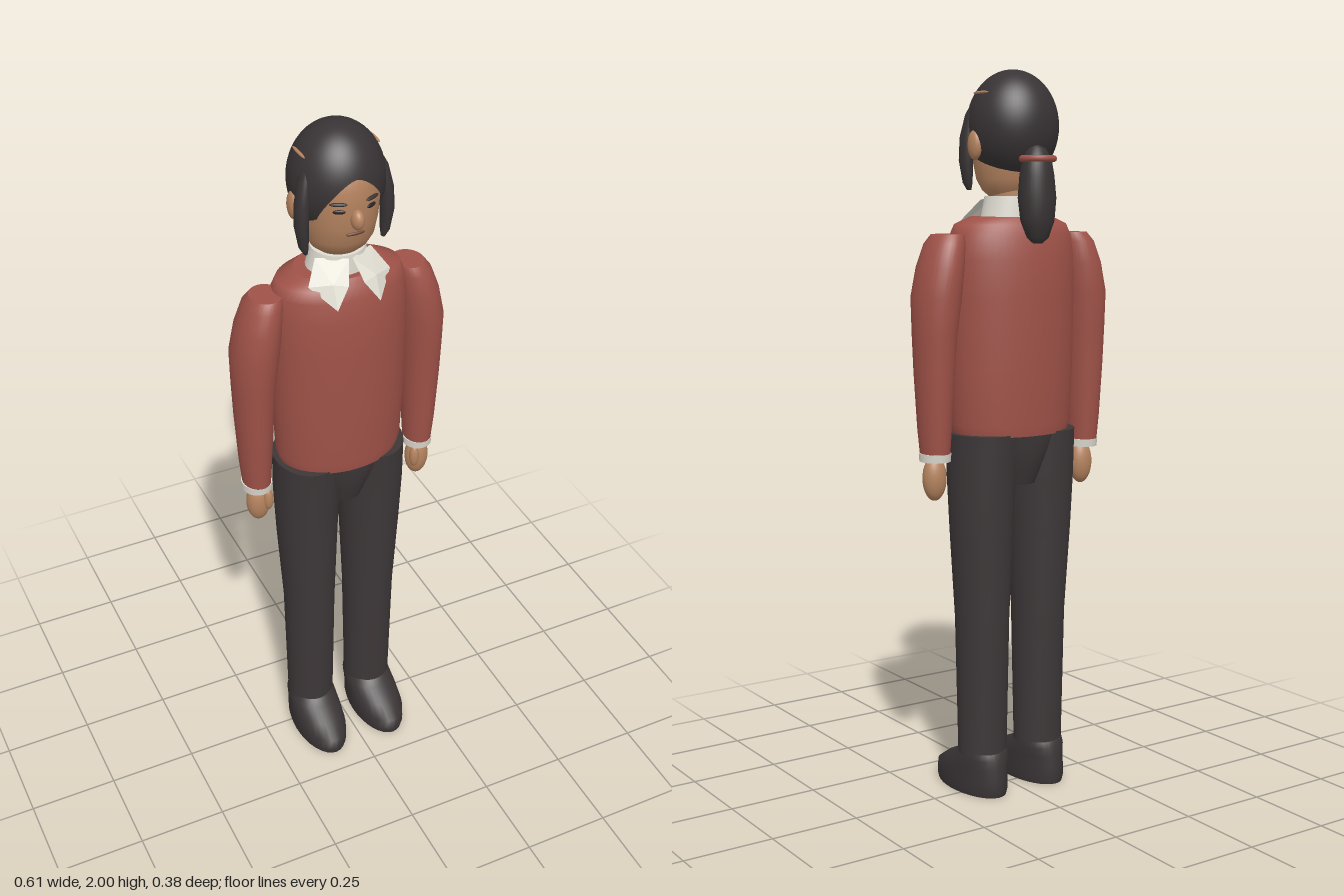
import * as THREE from 'three';

const mat = (name, color, side = THREE.FrontSide) => {
  const m = new THREE.MeshStandardMaterial({ color, side });
  m.name = name;
  return m;
};

// Closed elliptical loft; sections run upward as [y, cx, cz, rx, rz]
function loft(sections, n = 32) {
  const pos = [], idx = [];
  const ring = ([y, cx, cz, rx, rz]) => {
    for (let j = 0; j < n; j++) {
      const a = (j / n) * Math.PI * 2;
      pos.push(cx + rx * Math.cos(a), y, cz + rz * Math.sin(a));
    }
  };
  sections.forEach(ring);
  for (let i = 0; i < sections.length - 1; i++)
    for (let j = 0; j < n; j++) {
      const k = (j + 1) % n, a = i * n + j, b = i * n + k;
      idx.push(a, a + n, b, b, a + n, b + n);
    }
  // separate end caps keep a crisp rim
  [sections[0], sections[sections.length - 1]].forEach((s, end) => {
    const base = pos.length / 3;
    ring(s);
    pos.push(s[1], s[0], s[2]);
    for (let j = 0; j < n; j++) {
      const k = (j + 1) % n;
      if (end) idx.push(base + n, base + k, base + j);
      else idx.push(base + n, base + j, base + k);
    }
  });
  return finish(pos, idx);
}

function finish(pos, idx) {
  const g = new THREE.BufferGeometry();
  g.setAttribute('position', new THREE.Float32BufferAttribute(pos, 3));
  g.setIndex(idx);
  g.computeVertexNormals();
  return g;
}

// Hair shell: ellipsoid cut along a hairline that varies with the angle from the front
function hairShell() {
  const n = 64, rows = 24, pos = [], idx = [], deg = Math.PI / 180;
  for (let i = 0; i <= rows; i++)
    for (let j = 0; j < n; j++) {
      const a = (j / n) * Math.PI * 2;
      const f = Math.min(a, Math.PI * 2 - a) / deg;
      let edge = 1.895 - 0.11 * Math.pow(Math.min(f, 55) / 50, 1.7);
      if (f > 55) edge = Math.max(1.705, edge - (f - 55) * 0.0013);
      const t = (i / rows) * Math.acos((edge - 1.85) / 0.15);
      pos.push(0.125 * Math.sin(t) * Math.sin(a), 1.85 + 0.15 * Math.cos(t), -0.02 + 0.125 * Math.sin(t) * Math.cos(a));
    }
  for (let i = 0; i < rows; i++)
    for (let j = 0; j < n; j++) {
      const k = (j + 1) % n, a = i * n + j, b = i * n + k;
      idx.push(a, a + n, b, b, a + n, b + n);
    }
  return finish(pos, idx);
}

export function createModel() {
  const model = new THREE.Group();
  model.name = 'standingPerson';
  const skin = mat('skin', 0xb5835f);
  const sweater = mat('sweater red', 0x9f5248);
  const trousers = mat('trouser charcoal', 0x3d3738);
  const shoe = mat('shoe charcoal', 0x3a3435);
  const hair = mat('hair dark', 0x383334, THREE.DoubleSide);
  const white = mat('shirt white', 0xdedbd0, THREE.DoubleSide);
  const ink = mat('eye dark', 0x2a2122);
  const lip = mat('lip brown', 0x6b4238);

  const add = (name, geometry, material) => {
    const m = new THREE.Mesh(geometry, material);
    m.name = name;
    model.add(m);
    return m;
  };
  const ball = (name, material, [x, y, z], [rx, ry, rz]) => {
    const m = add(name, new THREE.SphereGeometry(1, 24, 16), material);
    m.position.set(x, y, z);
    m.scale.set(rx, ry, rz);
    return m;
  };

  // Body
  add('sweaterBody', loft([
    [1.02, 0, -0.01, 0.172, 0.122], [1.05, 0, -0.01, 0.18, 0.126], [1.2, 0, -0.01, 0.187, 0.132],
    [1.4, 0, -0.01, 0.19, 0.135], [1.5, 0, -0.01, 0.19, 0.13], [1.56, 0, -0.01, 0.183, 0.119],
    [1.59, 0, -0.01, 0.17, 0.107], [1.61, 0, -0.01, 0.12, 0.09]], 48), sweater);
  add('pelvis', loft([
    [0.88, 0, -0.01, 0.065, 0.08], [0.93, 0, -0.01, 0.09, 0.098],
    [0.98, 0, -0.01, 0.12, 0.112], [1.03, 0, -0.01, 0.168, 0.117]]), trousers);
  add('neck', loft([[1.56, 0, -0.015, 0.06, 0.06], [1.72, 0, -0.015, 0.058, 0.06]]), skin);
  add('collarBand', loft([[1.6, 0, -0.012, 0.088, 0.076], [1.665, 0, -0.012, 0.072, 0.072]]), white);

  // Head and face
  add('head', loft([
    [1.665, 0, -0.005, 0.058, 0.055], [1.68, 0, -0.004, 0.076, 0.07], [1.71, 0, -0.002, 0.09, 0.087],
    [1.76, 0, 0, 0.098, 0.097], [1.81, 0, 0, 0.102, 0.1], [1.86, 0, 0, 0.1, 0.1],
    [1.9, 0, -0.005, 0.095, 0.093], [1.95, 0, -0.015, 0.07, 0.07]], 40), skin);
  ball('nose', skin, [0, 1.788, 0.104], [0.017, 0.027, 0.021]);
  ball('mouth', lip, [0, 1.745, 0.093], [0.026, 0.005, 0.005]);

  // Hair
  add('hairShell', hairShell(), hair);
  add('ponytail', loft([
    [1.54, 0, -0.137, 0.012, 0.012], [1.555, 0, -0.137, 0.03, 0.028], [1.6, 0, -0.136, 0.047, 0.042],
    [1.66, 0, -0.134, 0.053, 0.048], [1.72, 0, -0.133, 0.048, 0.043], [1.765, 0, -0.133, 0.04, 0.036],
    [1.79, 0, -0.13, 0.025, 0.025], [1.8, 0, -0.125, 0.008, 0.008]]), hair);
  const tie = add('hairTie', new THREE.TorusGeometry(0.042, 0.009, 10, 32), sweater);
  tie.rotation.x = Math.PI / 2;
  tie.position.set(0, 1.763, -0.137);

  // Mirrored parts
  for (const [s, side] of [[1, 'left'], [-1, 'right']]) {
    const sided = (rows) => loft(rows.map(([y, x, z, rx, rz]) => [y, s * x, z, rx, rz]));
    add(side + 'Leg', sided([
      [0.1, 0.095, -0.008, 0.068, 0.068], [0.5, 0.095, -0.008, 0.074, 0.08],
      [0.75, 0.098, -0.01, 0.086, 0.093], [0.9, 0.098, -0.01, 0.092, 0.102],
      [1.025, 0.096, -0.01, 0.092, 0.113]]), trousers);
    add(side + 'Shoe', sided([
      [0, 0.097, 0.043, 0.07, 0.14], [0.015, 0.097, 0.043, 0.073, 0.144], [0.05, 0.097, 0.042, 0.073, 0.142],
      [0.08, 0.096, 0.021, 0.072, 0.116], [0.105, 0.095, -0.004, 0.07, 0.088],
      [0.122, 0.095, -0.01, 0.066, 0.073]]), shoe);
    add(side + 'Sleeve', sided([
      [0.975, 0.247, -0.01, 0.038, 0.048], [1.05, 0.248, -0.01, 0.044, 0.054], [1.2, 0.248, -0.01, 0.052, 0.064],
      [1.3, 0.246, -0.01, 0.057, 0.071], [1.4, 0.24, -0.01, 0.064, 0.08], [1.48, 0.227, -0.01, 0.06, 0.077],
      [1.54, 0.213, -0.01, 0.052, 0.066], [1.565, 0.203, -0.01, 0.043, 0.05]]), sweater);
    add(side + 'Cuff', sided([[0.958, 0.247, -0.01, 0.041, 0.046], [0.98, 0.247, -0.01, 0.042, 0.049]]), white);
    ball(side + 'Hand', skin, [s * 0.246, 0.91, -0.005], [0.034, 0.062, 0.03]);
    ball(side + 'Thumb', skin, [s * 0.226, 0.925, 0.02], [0.014, 0.035, 0.014]);

    // Collar wing: folded plate lying over the chest
    const p = [[0.06, 1.61, 0.092], [0.005, 1.66, 0.066], [0.078, 1.655, 0.02],
      [0.115, 1.6, 0.06], [0.06, 1.548, 0.119], [0.022, 1.602, 0.102]];
    const tri = [];
    for (let i = 1; i < 6; i++) {
      const q = i % 5 + 1;
      const corners = s > 0 ? [p[0], p[q], p[i]] : [p[0], p[i], p[q]];
      corners.forEach(([x, y, z]) => tri.push(s * x, y, z));
    }
    add(side + 'CollarWing', finish(tri, [...Array(15).keys()]), white);

    // Face details, ear and side lock
    const eye = ball(side + 'Eye', ink, [s * 0.044, 1.813, 0.091], [0.016, 0.006, 0.004]);
    const brow = ball(side + 'Brow', hair, [s * 0.046, 1.834, 0.091], [0.023, 0.005, 0.006]);
    eye.rotation.y = brow.rotation.y = s * 0.45;
    ball(side + 'Ear', skin, [s * 0.118, 1.8, -0.014], [0.017, 0.04, 0.025]);
    add(side + 'HairLock', sided([
      [1.68, 0.108, 0.03, 0.005, 0.007], [1.7, 0.113, 0.03, 0.012, 0.016], [1.76, 0.118, 0.03, 0.018, 0.023],
      [1.82, 0.115, 0.028, 0.019, 0.024], [1.88, 0.105, 0.022, 0.016, 0.02], [1.93, 0.09, 0.012, 0.006, 0.01]]), hair);
    // Thin gap in the hair
    ball(side + 'HairParting', skin, [s * 0.101, 1.937, -0.018], [0.005, 0.004, 0.036]);
  }
  return model;
}
